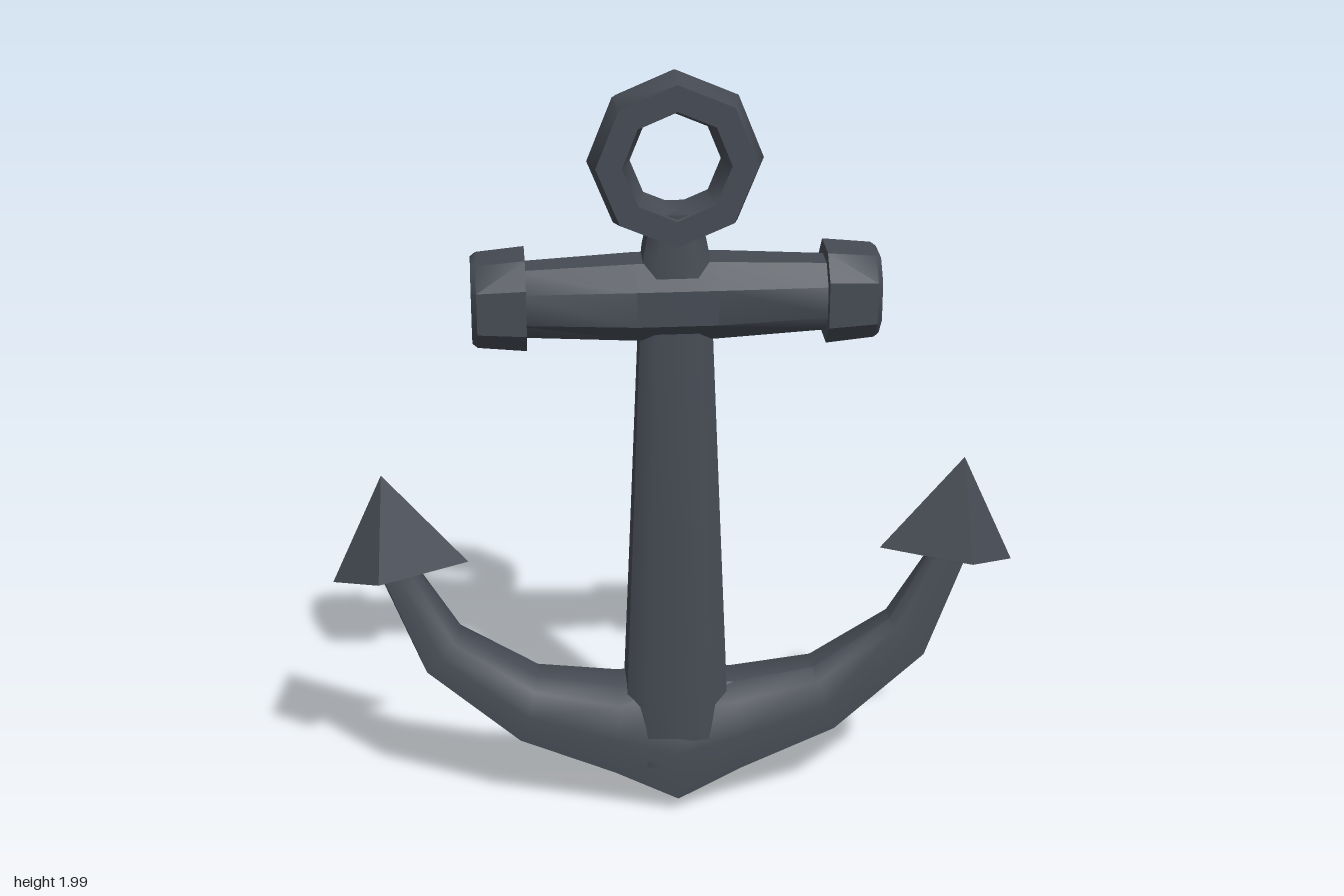
import * as THREE from 'three';
import { toCreasedNormals } from 'three/addons/utils/BufferGeometryUtils.js';

const V = (x, y, z) => new THREE.Vector3(x, y, z);

// Skin a list of equal-length rings; closed joins the last ring to the first, otherwise ends are capped.
function loft(rings, crease = 0.75, closed = false) {
  const n = rings[0].length, m = rings.length;
  const pts = rings.flat();
  const index = [];
  for (let i = 0; i < (closed ? m : m - 1); i++) {
    for (let j = 0; j < n; j++) {
      const a = i * n + j, b = i * n + (j + 1) % n;
      const c = ((i + 1) % m) * n + j, d = ((i + 1) % m) * n + (j + 1) % n;
      index.push(a, b, d, a, d, c);
    }
  }
  if (!closed) {
    const e = (m - 1) * n;
    for (let j = 1; j < n - 1; j++) index.push(0, j + 1, j, e, e + j, e + j + 1);
  }
  // Turn the faces outward
  let volume = 0;
  for (let i = 0; i < index.length; i += 3) {
    volume += pts[index[i]].dot(pts[index[i + 1]].clone().cross(pts[index[i + 2]]));
  }
  if (volume < 0) index.reverse();
  const geo = new THREE.BufferGeometry().setFromPoints(pts);
  geo.setIndex(index);
  return toCreasedNormals(geo, crease);
}

// Rectangle with cut corners, as [u, v] pairs
function octagon(a, b, cut = 0.5) {
  const k = 1 - cut;
  return [[a, b * k], [a * k, b], [-a * k, b], [-a, b * k], [-a, -b * k], [-a * k, -b], [a * k, -b], [a, -b * k]];
}

export function createModel() {
  const group = new THREE.Group();
  const iron = new THREE.MeshStandardMaterial({ color: 0x464b54 });
  iron.name = 'dark iron';
  const add = (name, geo) => {
    const mesh = new THREE.Mesh(geo, iron);
    mesh.name = name;
    group.add(mesh);
  };

  // Shank: [y, half width, half depth]
  add('shank', loft([[0.15, 0.135, 0.115], [0.36, 0.13, 0.107], [0.85, 0.11, 0.088], [1.4, 0.088, 0.066]]
    .map(([y, a, b]) => octagon(a, b, 0.4).map(([x, z]) => V(x, y, z)))));

  // Neck between stock and ring
  add('neck', loft([[1.45, 0.09, 0.08], [1.55, 0.08, 0.07], [1.6, 0.07, 0.065], [1.655, 0.1, 0.06]]
    .map(([y, a, b]) => octagon(a, b, 0.4).map(([x, z]) => V(x, y, z)))));

  // Ring: eight straight segments with a six-sided section
  const section = [[0.222, 0], [0.203, 0.068], [0.137, 0.068], [0.114, 0], [0.137, -0.068], [0.203, -0.068]];
  const ring = [];
  for (let i = 0; i < 8; i++) {
    const t = i * Math.PI / 4;
    ring.push(section.map(([r, z]) => V(r * Math.sin(t) * 0.97, 1.778 + r * Math.cos(t), z)));
  }
  add('ring', loft(ring, 0.9, true));

  // Stock: crossbar swelling in the middle
  add('stock', loft([[-0.4, 0.086, 0.08], [-0.1, 0.1, 0.1], [0.1, 0.1, 0.1], [0.4, 0.086, 0.08]]
    .map(([x, a, b]) => octagon(a, b, 0.55).map(([y, z]) => V(x, 1.428 + y, z)))));

  // Arms and crown: [x low, y low, x high, y high, half depth]
  const half = [
    [0.17, 0.105, 0.15, 0.36, 0.113],
    [0.42, 0.21, 0.36, 0.39, 0.092],
    [0.66, 0.42, 0.56, 0.52, 0.07],
    [0.765, 0.7, 0.665, 0.7, 0.042],
  ];
  const stations = [
    ...half.map(([a, b, c, d, e]) => [-a, b, -c, d, e]).reverse(),
    [0, 0.008, 0, 0.37, 0.12],
    ...half,
  ];
  const armSection = [[0, 0], [0.12, 0.95], [0.5, 1], [0.85, 0.8], [1, 0.4], [1, -0.4], [0.85, -0.8], [0.5, -1], [0.12, -0.95]];
  add('armsAndCrown', loft(stations.map(([xl, yl, xh, yh, d]) =>
    armSection.map(([t, z]) => V(xl + (xh - xl) * t, yl + (yh - yl) * t, z * d)))));

  for (const s of [1, -1]) {
    const side = s > 0 ? 'left' : 'right';

    // Knob on the end of the stock
    add(side + 'Knob', loft([[0.37, 0.117, 0.112], [0.49, 0.106, 0.106], [0.503, 0.098, 0.09]]
      .map(([x, a, b]) => octagon(a, b, 0.5).map(([y, z]) => V(s * x, 1.43 + y, z)))));

    // Fluke: four-sided point with a shallow pointed underside
    const base = [V(s * 0.88, 0.67, 0), V(s * 0.76, 0.705, 0.1), V(s * 0.533, 0.715, 0), V(s * 0.76, 0.705, -0.1)];
    const apex = V(s * 0.745, 0.965, 0), under = V(s * 0.725, 0.668, 0);
    const tris = [];
    base.forEach((p, i) => {
      const q = base[(i + 1) % 4];
      tris.push(...(s > 0 ? [p, apex, q, q, under, p] : [p, q, apex, q, p, under]));
    });
    const geo = new THREE.BufferGeometry().setFromPoints(tris);
    add(side + 'Fluke', toCreasedNormals(geo, 0.75));
  }
  return group;
}
